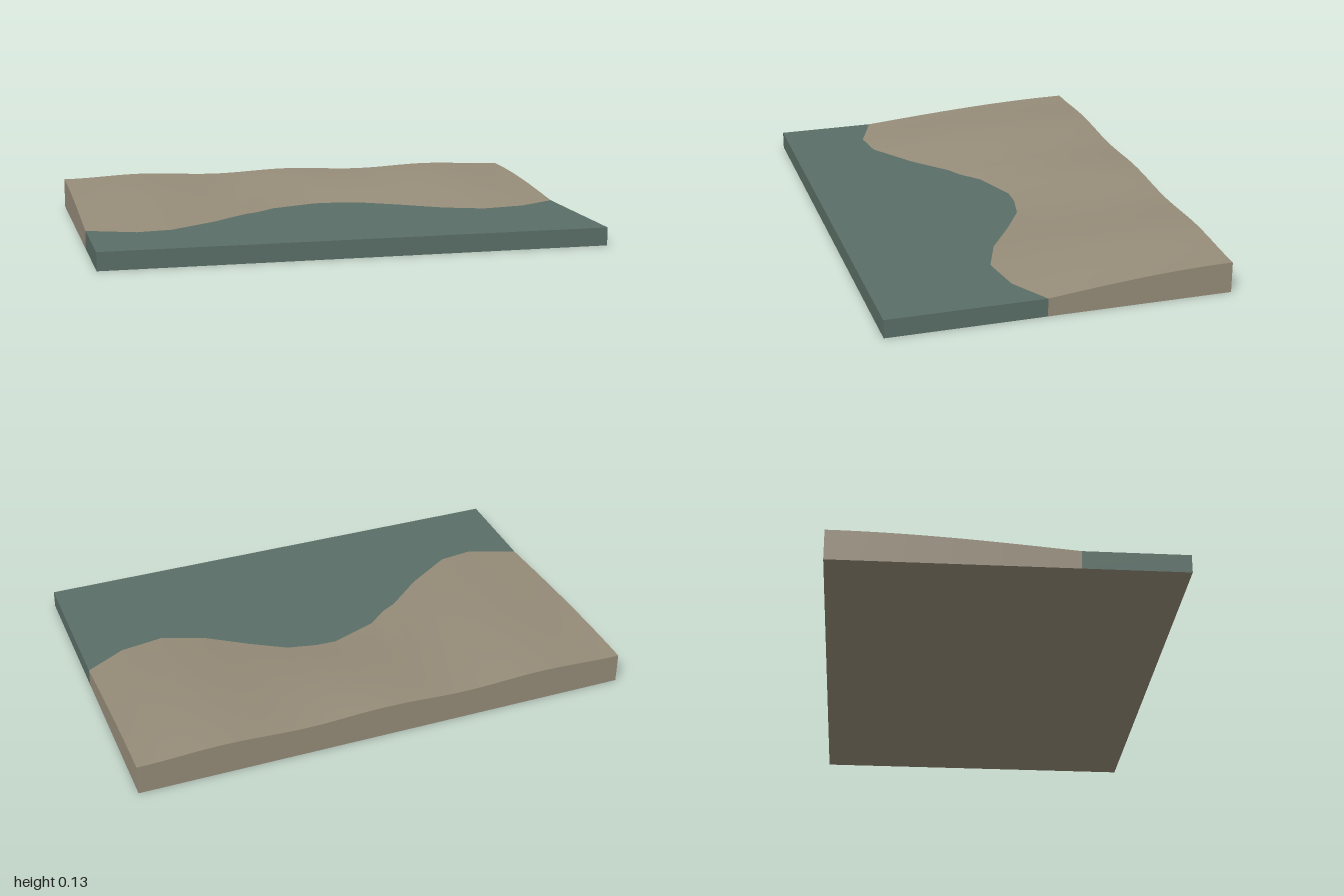
import * as THREE from 'three';

// Coastal terrain slab: flat water in front, a sandy bank rising to the back.
const DEPTH = 0.67, WATER = 0.072;
const SHORE = [
  [-1, 0.265], [-0.81, 0.338], [-0.67, 0.32], [-0.48, 0.195], [-0.33, 0.065],
  [-0.27, 0.033], [-0.19, -0.035], [0, -0.105], [0.08, -0.103], [0.2, -0.078],
  [0.34, 0.005], [0.5, 0.112], [0.66, 0.173], [0.84, 0.145], [1, 0.055],
];
const SPANS = SHORE.length - 1;

// Shoreline position (x, z) for u from 0 to 1
function shore(u) {
  const i = Math.min(SPANS - 1, Math.floor(u * SPANS + 1e-6));
  const f = u * SPANS - i;
  return SHORE[i].map((a, k) => a + (SHORE[i + 1][k] - a) * f);
}

// Bank surface: t runs from the shoreline to the back edge
function bank(u, t) {
  const [x, z] = shore(u);
  const ridge = 0.056 + 0.006 * Math.cos((2 * Math.PI * x) / 0.66);
  return [x, WATER + ridge * Math.sin((t * Math.PI) / 2), z + (-DEPTH - z) * t];
}

// Parametric sheet facing along du x dv
function sheet(name, material, point, nu, nv) {
  const geo = new THREE.PlaneGeometry(1, 1, nu, nv);
  const pos = geo.attributes.position;
  for (let i = 0; i < pos.count; i++) {
    pos.setXYZ(i, ...point(pos.getX(i) + 0.5, pos.getY(i) + 0.5));
  }
  geo.computeVertexNormals();
  const mesh = new THREE.Mesh(geo, material);
  mesh.name = name;
  return mesh;
}

export function createModel() {
  const sand = new THREE.MeshStandardMaterial({ color: 0x968c79 });
  sand.name = 'sand';
  const water = new THREE.MeshStandardMaterial({ color: 0x5a6e66 });
  water.name = 'water';

  const model = new THREE.Group();
  model.name = 'coastTerrain';
  const cols = SPANS * 4;

  // Top surfaces
  model.add(sheet('sandBank', sand, bank, cols, 16));
  model.add(sheet('waterSurface', water, (u, v) => {
    const [x, z] = shore(u);
    return [x, WATER, DEPTH + (z - DEPTH) * v];
  }, cols, 1));

  // Front, back and underside
  model.add(sheet('waterFront', water, (u, v) => [2 * u - 1, WATER * v, DEPTH], 1, 1));
  model.add(sheet('bankBack', sand, (u, v) => {
    const [x, y, z] = bank(1 - u, 1);
    return [x, y * v, z];
  }, cols, 1));
  model.add(sheet('underside', sand, (u, v) => [2 * u - 1, 0, DEPTH * (2 * v - 1)], 1, 1));

  // Side walls, split at the shoreline
  for (const [side, end] of [['right', 0], ['left', 1]]) {
    const along = (u) => (end ? u : 1 - u);
    model.add(sheet(side + 'BankWall', sand, (u, v) => {
      const [x, y, z] = bank(end, along(u));
      return [x, y * v, z];
    }, 16, 1));
    const [x, z] = shore(end);
    model.add(sheet(side + 'WaterWall', water,
      (u, v) => [x, WATER * v, DEPTH + (z - DEPTH) * along(u)], 1, 1));
  }
  return model;
}
